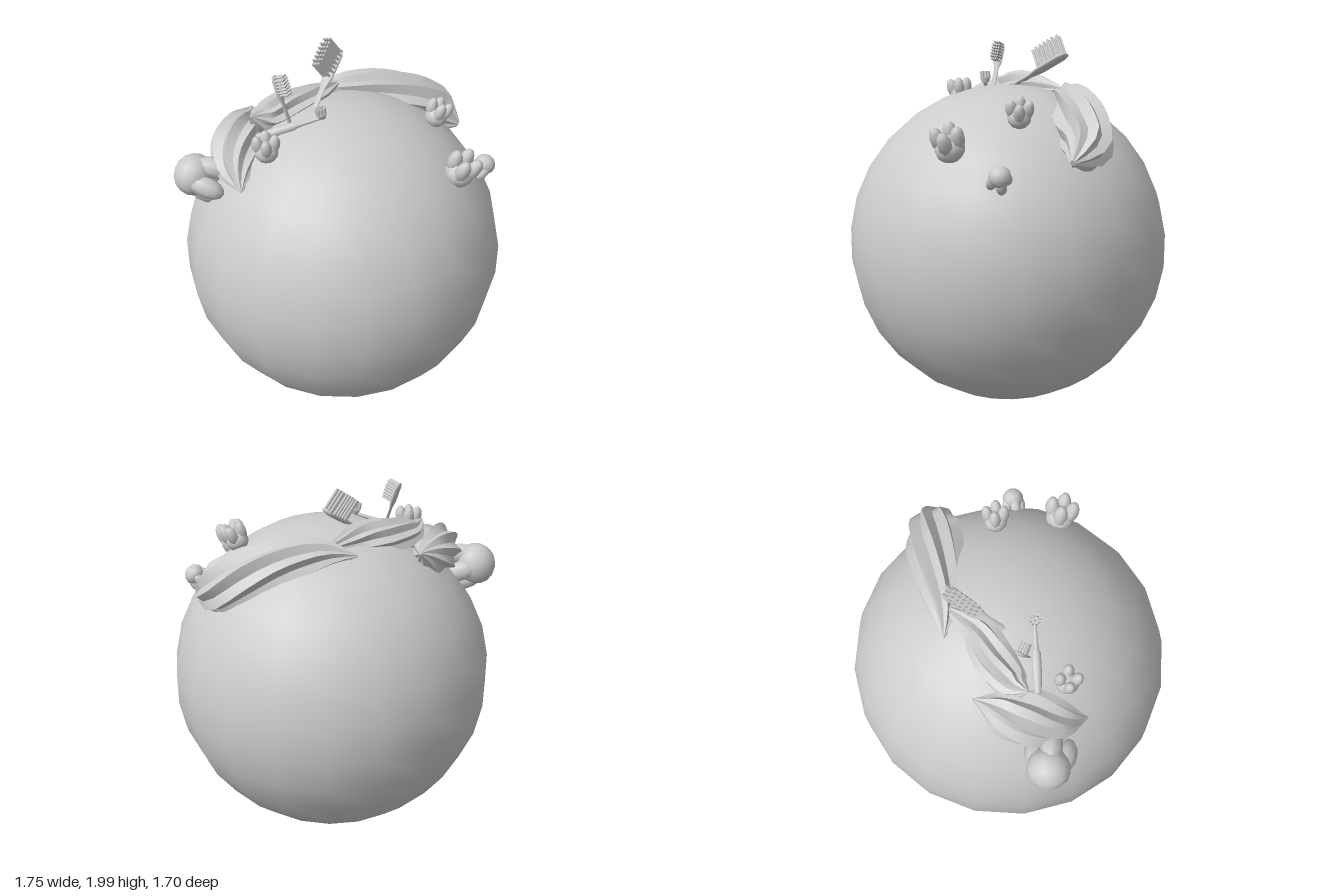
import * as THREE from 'three';
import { toCreasedNormals } from 'three/addons/utils/BufferGeometryUtils.js';

const CENTRE = new THREE.Vector3(0.017, 0.867, 0);
const V = (p) => new THREE.Vector3(...p);
const grey = new THREE.MeshStandardMaterial({ color: 0xcccccc });

function add(parent, geometry, name, position = [0, 0, 0]) {
  const mesh = new THREE.Mesh(geometry, grey);
  mesh.name = name;
  mesh.position.set(...position);
  parent.add(mesh);
  return mesh;
}

// Ridged, twisted paste squeezed along a path; each stop is [x, y, z, radius]
function swirl(stops, twist, name) {
  const path = new THREE.CatmullRomCurve3(stops.map((s) => V(s.slice(0, 3))));
  const radii = new THREE.CatmullRomCurve3(stops.map((s) => new THREE.Vector3(s[3], 0, 0)));
  const rings = 14, ridges = 9, sides = ridges * 2;
  const pos = [], index = [];
  for (let i = 0; i <= rings; i++) {
    const t = i / rings;
    const c = path.getPoint(t), tan = path.getTangent(t);
    const up = c.clone().sub(CENTRE);
    up.addScaledVector(tan, -up.dot(tan)).normalize();
    const side = tan.clone().cross(up);
    const r = Math.max(0.002, radii.getPoint(t).x);
    for (let j = 0; j < sides; j++) {
      const a = (j / sides) * Math.PI * 2 + twist * t;
      const k = r * (j % 2 ? 0.8 : 1.04);
      const p = c.clone().addScaledVector(side, k * Math.cos(a)).addScaledVector(up, k * Math.sin(a));
      pos.push(p.x, p.y, p.z);
    }
  }
  for (let i = 0; i < rings; i++) {
    for (let j = 0; j < sides; j++) {
      const a = i * sides + j, b = i * sides + ((j + 1) % sides);
      index.push(a, a + sides, b, b, a + sides, b + sides);
    }
  }
  // Close both tips
  for (let j = 1; j < sides - 1; j++) {
    const e = rings * sides;
    index.push(0, j, j + 1, e, e + j + 1, e + j);
  }
  const g = new THREE.BufferGeometry();
  g.setAttribute('position', new THREE.Float32BufferAttribute(pos, 3));
  g.setIndex(index);
  const mesh = new THREE.Mesh(toCreasedNormals(g, 0.45), grey);
  mesh.name = name;
  return mesh;
}

// Molar: round body at the bottom, four stubby knobs at the top
function tooth(position, direction, size, turn, name) {
  const group = new THREE.Group();
  group.name = name;
  const body = add(group, new THREE.SphereGeometry(0.4, 12, 8), 'toothBody', [0, -0.14, 0]);
  body.scale.set(1, 0.92, 1);
  for (let i = 0; i < 4; i++) {
    const a = (i + 0.5) * Math.PI / 2;
    const knob = add(group, new THREE.SphereGeometry(0.2, 8, 7), 'toothKnob',
      [Math.cos(a) * 0.27, 0.14, Math.sin(a) * 0.27]);
    knob.scale.set(1, 1.8, 1);
    knob.rotation.set(Math.sin(a) * 0.16, 0, -Math.cos(a) * 0.16);
  }
  group.position.set(...position);
  group.quaternion.setFromUnitVectors(new THREE.Vector3(0, 1, 0), V(direction).normalize());
  group.rotateY(turn);
  group.scale.setScalar(size);
  return group;
}

// Toothbrush: z runs from handle to tip, y along the bristles, head starts at the origin
function brush(start, along, bristleDir, length, width, bristle, tail, name) {
  const group = new THREE.Group();
  group.name = name;
  const z = V(along).normalize();
  const x = V(bristleDir).cross(z).normalize();
  const y = z.clone().cross(x);
  group.quaternion.setFromRotationMatrix(new THREE.Matrix4().makeBasis(x, y, z));
  group.position.set(...start);
  const w = width / 2;
  const profile = [[0, -tail], [w * 0.6, -tail], [w * 0.5, -length * 0.35], [w * 0.95, 0],
    [w, length * 0.3], [w, length * 0.8], [w * 0.65, length], [0, length * 1.04]];
  const handle = add(group, new THREE.LatheGeometry(profile.map((p) => new THREE.Vector2(...p)), 12),
    'brushHandle');
  handle.rotation.x = Math.PI / 2;
  handle.scale.z = 0.4;
  // Bristle tufts
  const tuft = new THREE.CylinderGeometry(width * 0.1, width * 0.1, bristle, 6);
  for (let row = 0; row < 7; row++) {
    const cols = row === 0 || row === 6 ? 3 : 4;
    for (let c = 0; c < cols; c++) {
      add(group, tuft, 'bristleTuft',
        [(c - (cols - 1) / 2) * width * 0.25, bristle / 2, length * (0.06 + row * 0.145)]);
    }
  }
  return group;
}

// Electric brush lying on the globe, round head at the far end
function electricBrush() {
  const group = new THREE.Group();
  group.name = 'electricBrush';
  const from = V([-0.45, 1.63, 0.025]), to = V([-0.12, 1.735, 0.095]);
  const dir = to.clone().sub(from), len = dir.length();
  const profile = [[0, 0], [0.018, 0.005], [0.025, 0.1], [0.023, 0.2], [0.015, 0.215],
    [0.012, 0.25], [0.008, len], [0, len]];
  const handle = add(group, new THREE.LatheGeometry(profile.map((p) => new THREE.Vector2(...p)), 12),
    'electricHandle', from.toArray());
  handle.quaternion.setFromUnitVectors(new THREE.Vector3(0, 1, 0), dir.normalize());
  const head = new THREE.Group();
  head.name = 'electricHead';
  head.position.copy(to);
  head.rotation.z = 0.2;
  add(head, new THREE.CylinderGeometry(0.027, 0.018, 0.024, 12), 'headCup', [0, 0.01, 0]);
  const tuft = new THREE.CylinderGeometry(0.007, 0.007, 0.04, 6);
  for (let i = 0; i < 9; i++) {
    const a = i * Math.PI / 4, r = i < 8 ? 0.022 : 0;
    add(head, tuft, 'bristleTuft', [Math.cos(a) * r, 0.038, Math.sin(a) * r]);
  }
  group.add(head);
  return group;
}

export function createModel() {
  const model = new THREE.Group();
  model.name = 'toothGlobe';

  const globe = add(model, new THREE.SphereGeometry(0.867, 20, 15), 'globe', CENTRE.toArray());
  globe.rotation.y = Math.PI / 20;

  // Paste swirls
  model.add(
    swirl([[-0.07, 1.67, -0.35, 0.005], [0.1, 1.66, -0.31, 0.09], [0.3, 1.62, -0.29, 0.13],
      [0.48, 1.55, -0.27, 0.15], [0.62, 1.48, -0.24, 0.14], [0.73, 1.43, -0.15, 0.015]], 1.1, 'rightSwirl'),
    swirl([[-0.46, 1.73, -0.03, 0.005], [-0.39, 1.68, -0.08, 0.08], [-0.24, 1.68, -0.14, 0.1],
      [-0.08, 1.69, -0.18, 0.085], [0.1, 1.7, -0.32, 0.005]], 1.4, 'middleSwirl'),
    swirl([[-0.4, 1.64, -0.29, 0.005], [-0.47, 1.59, -0.18, 0.11], [-0.53, 1.56, -0.04, 0.14],
      [-0.57, 1.52, 0.1, 0.11], [-0.58, 1.47, 0.25, 0.005]], -1.4, 'leftSwirl'),
  );

  // Teeth scattered over the globe
  model.add(
    tooth([0.52, 1.51, 0.415], [0.3, 0.9, 0.25], 0.19, 0.3, 'frontTooth'),
    tooth([0.515, 1.645, 0.06], [0.35, 0.9, 0.05], 0.15, 0.5, 'upperTooth'),
    tooth([0.73, 1.37, 0.21], [-0.7, -0.65, -0.1], 0.14, 0.4, 'sideTooth'),
    tooth([-0.43, 1.655, 0.18], [-0.05, 0.95, 0.1], 0.15, 0.6, 'swirlTooth'),
    tooth([-0.74, 1.44, 0.01], [0.85, -0.3, 0.35], 0.28, 0.4, 'largeTooth'),
  );

  // Brushes
  model.add(
    brush([-0.02, 1.8, -0.18], [0.11, 0.1, -0.13], [-0.07, 0.105, 0.015], 0.185, 0.075, 0.12, 0.2, 'largeBrush'),
    brush([-0.305, 1.825, -0.015], [-0.05, 0.2, -0.05], [0.6, 0.25, 0.5], 0.11, 0.055, 0.06, 0.2, 'smallBrush'),
    electricBrush(),
  );
  return model;
}
